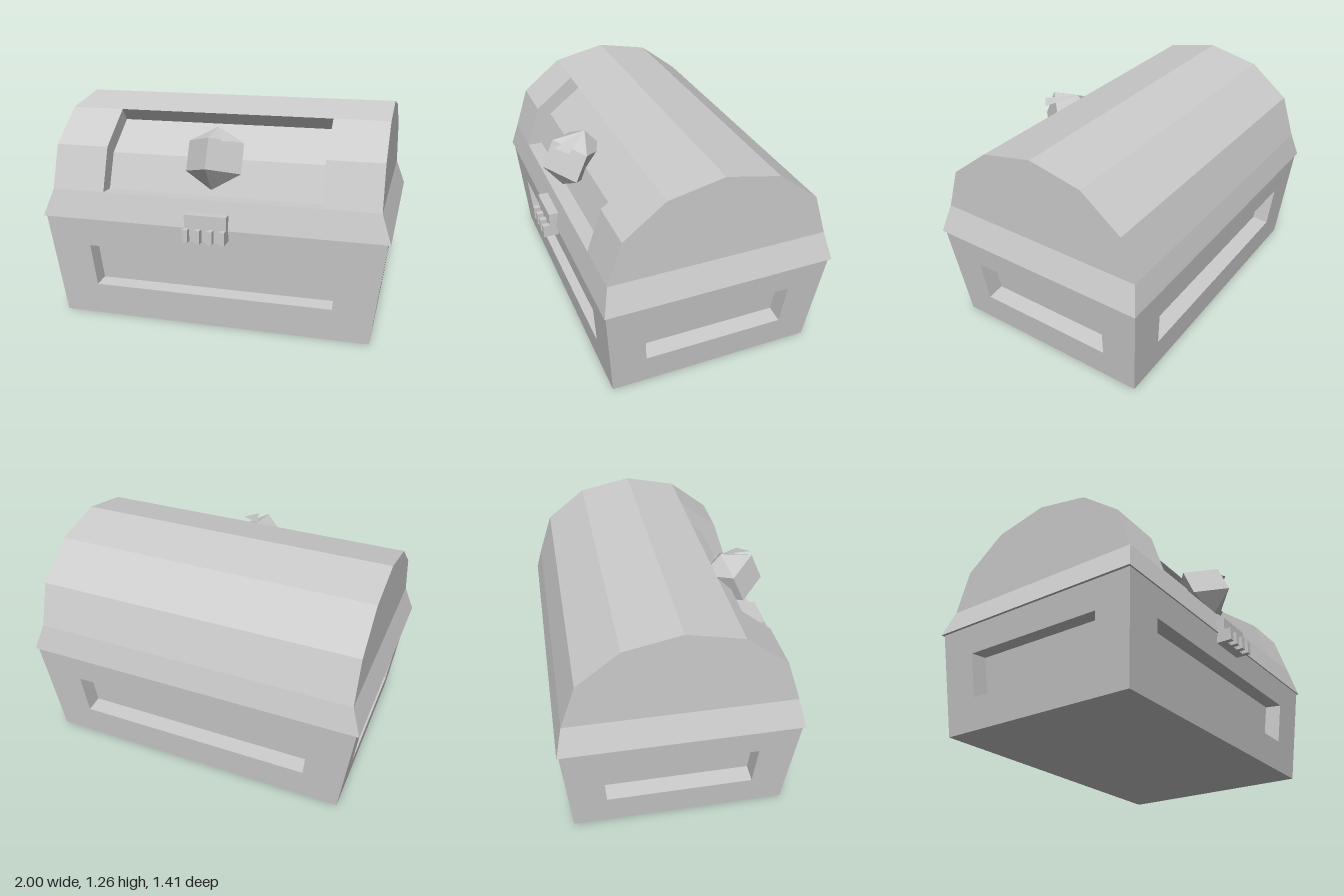
import * as THREE from 'three';

const material = new THREE.MeshStandardMaterial({ color: 0xcccccc, flatShading: true });

// Mesh from convex polygons, corners counter-clockwise seen from outside
function polyMesh(name, polys, mat = material) {
  const pos = [];
  for (const p of polys) {
    for (let i = 1; i < p.length - 1; i++) pos.push(...p[0], ...p[i], ...p[i + 1]);
  }
  const geo = new THREE.BufferGeometry();
  geo.setAttribute('position', new THREE.Float32BufferAttribute(pos, 3));
  geo.computeVertexNormals();
  const mesh = new THREE.Mesh(geo, mat);
  mesh.name = name;
  return mesh;
}

// Quads joining two closed loops of corners
const bridge = (a, b) => a.map((p, i) => {
  const j = (i + 1) % a.length;
  return [p, a[j], b[j], b[i]];
});

const BASE_H = 0.607;

// Sloping wall facing +z with a sunken panel; w = half widths, d = distances from the centre
function basePanel(name, w, d, holeW, holeY) {
  const slope = (d[1] - d[0]) / BASE_H;
  const rect = (hw, ys) => [[-hw[0], 0], [hw[0], 0], [hw[1], 1], [-hw[1], 1]]
    .map(([x, k]) => [x, ys[k], d[0] + slope * ys[k]]);
  const outer = rect(w, [0, BASE_H]);
  const hole = rect(holeW, holeY);
  const inward = new THREE.Vector3(0, slope, -1).setLength(0.1);
  const floor = hole.map(([x, y, z]) => [x, y + inward.y, z + inward.z]);
  return polyMesh(name, [...bridge(outer, hole), ...bridge(hole, floor), floor]);
}

function createBase() {
  const base = new THREE.Group();
  base.name = 'base';
  const W = [0.91, 0.985], D = [0.605, 0.657];
  ['frontWall', 'leftWall', 'backWall', 'rightWall'].forEach((name, i) => {
    const wall = i % 2
      ? basePanel(name, D, W, [0.415, 0.43], [0.185, 0.44])
      : basePanel(name, W, D, [0.70, 0.725], [0.19, 0.44]);
    wall.rotation.y = i * Math.PI / 2;
    base.add(wall);
  });
  const x = W[0], z = D[0];
  base.add(polyMesh('bottom', [[[-x, 0, -z], [x, 0, -z], [x, 0, z], [-x, 0, z]]]));
  return base;
}

function createLid() {
  const lid = new THREE.Group();
  lid.name = 'lid';
  const X = 0.945, RX = 0.63;

  // Flared rim
  const rect = (x, y, z) => [[-x, y, z], [x, y, z], [x, y, -z], [-x, y, -z]];
  const low = rect(1, BASE_H, 0.666);
  lid.add(polyMesh('rim', [...bridge(low, rect(X, 0.765, 0.629)), [...low].reverse()]));

  // Barrel profile as [z, y], front to back
  const front = [[0.629, 0.765], [0.546, 1.013], [0.312, 1.195]];
  const profile = [...front, [0, 1.26], ...front.map(([z, y]) => [-z, y]).reverse()];
  const at = (x, p) => [x, p[1], p[0]];
  const strip = (path, x0, x1) => path.slice(1).map((b, i) =>
    [at(x0, path[i]), at(x1, path[i]), at(x1, b), at(x0, b)]);
  const end = profile.map(p => at(-X, p));
  lid.add(polyMesh('barrel', [
    ...strip(front, -X, -RX),
    ...strip(front, RX, X),
    ...strip(profile.slice(2), -X, X),
    end,
    profile.map(p => at(X, p)).reverse(),
  ]));

  // Sunken front panel following the barrel
  const inner = [[0.54, 0.765], [0.465, 0.965], [0.255, 1.125]];
  const cheeks = [];
  for (let i = 0; i < 2; i++) {
    const q = [front[i], front[i + 1], inner[i + 1], inner[i]];
    cheeks.push(q.map(p => at(RX, p)), q.map(p => at(-RX, p)).reverse());
  }
  lid.add(polyMesh('lidPanel', [...strip([front[0], ...inner, front[2]], -RX, RX), ...cheeks]));
  return lid;
}

function createGem() {
  const gem = new THREE.Group();
  gem.name = 'gem';
  // Tilted square crystal: two rings and two tips
  const ring = (y, z) => [[0, y + 0.055, z + 0.153], [0.16, y, z], [0, y - 0.055, z - 0.153], [-0.16, y, z]];
  const lo = ring(0.9, 0.5), hi = ring(1.06, 0.43);
  const top = [0, 1.14, 0.39], bottom = [0, 0.81, 0.54];
  const polys = bridge(lo, hi);
  for (let i = 0; i < 4; i++) {
    const j = (i + 1) % 4;
    polys.push([hi[i], hi[j], top], [lo[j], lo[i], bottom]);
  }
  gem.add(polyMesh('crystal', polys));
  // Thin splinter on the crown
  const thin = material.clone();
  thin.side = THREE.DoubleSide;
  gem.add(polyMesh('splinter', [[top, [0.075, 1.1, 0.595], [0.15, 1.09, 0.53]]], thin));
  return gem;
}

function createLatch() {
  const latch = new THREE.Group();
  latch.name = 'latch';
  const box = (name, w, h, d, x, y, z) => {
    const mesh = new THREE.Mesh(new THREE.BoxGeometry(w, h, d), material);
    mesh.name = name;
    mesh.position.set(x, y, z);
    latch.add(mesh);
  };
  box('latchPlate', 0.24, 0.15, 0.08, 0, 0.62, 0.628);
  for (let i = 0; i < 4; i++) {
    box('latchTooth', 0.03, 0.075, 0.04, -0.105 + i * 0.07, 0.5825, 0.687);
  }
  return latch;
}

export function createModel() {
  const model = new THREE.Group();
  model.name = 'chest';
  const body = new THREE.Group();
  body.name = 'body';
  body.position.z = -0.035;
  body.add(createBase(), createLid());
  model.add(body, createGem(), createLatch());
  return model;
}
